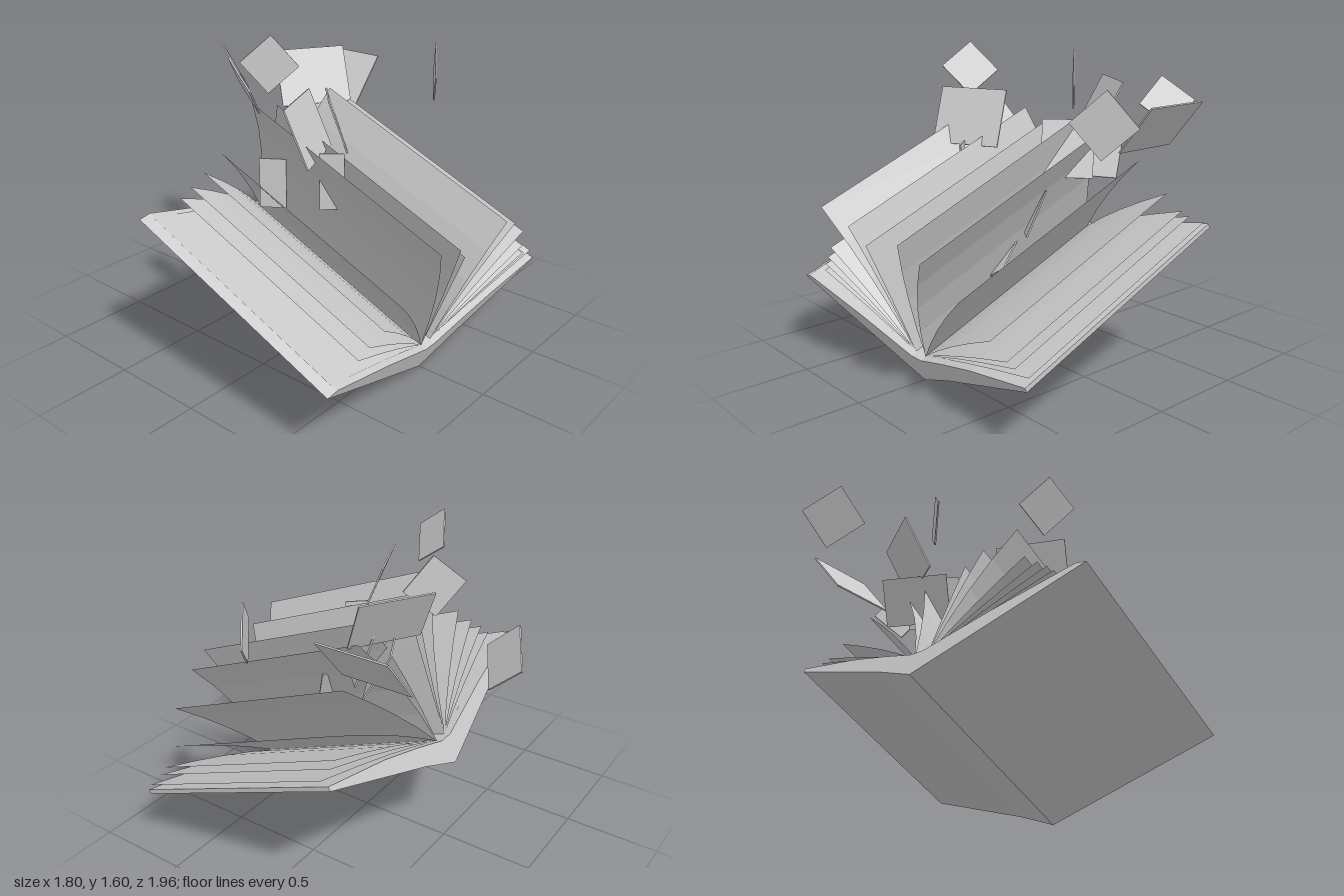
import * as THREE from 'three';

const paper = new THREE.MeshStandardMaterial({ color: 0xcccccc, side: THREE.DoubleSide, flatShading: true });
paper.name = 'paper grey';

const TILT = THREE.MathUtils.degToRad(22.4);
const DEPTH = 1.265;
const up = y => y / Math.cos(TILT); // front height to height along the tilted book

// Curved page leaf swept along the spine
function makeLeaf(root, tip, bend, inset) {
  const a = new THREE.Vector2(root[0], up(root[1]));
  const c = new THREE.Vector2(tip[0], up(tip[1]));
  const b = new THREE.Vector2(a.x + (c.x - a.x) * bend[0], a.y + (c.y - a.y) * bend[1]);
  const pts = new THREE.QuadraticBezierCurve(a, b, c).getPoints(4);
  const pos = [], index = [];
  pts.forEach((p, i) => {
    pos.push(p.x, p.y, -inset, p.x, p.y, inset - DEPTH);
    if (i) index.push(2 * i - 2, 2 * i, 2 * i - 1, 2 * i - 1, 2 * i, 2 * i + 1);
  });
  const g = new THREE.BufferGeometry();
  g.setAttribute('position', new THREE.Float32BufferAttribute(pos, 3));
  g.setIndex(index);
  g.computeVertexNormals();
  return new THREE.Mesh(g, paper);
}

// Thin loose sheet through three neighbouring corners
function makeSheet(p, q, r) {
  const [a, b, c] = [p, q, r].map(v => new THREE.Vector3(...v));
  const u = b.clone().sub(a), v = c.clone().sub(b);
  const w = u.length(), h = v.length();
  u.normalize();
  const n = u.clone().cross(v).normalize();
  const m = new THREE.Matrix4().makeBasis(u, n.clone().cross(u), n);
  const mesh = new THREE.Mesh(new THREE.BoxGeometry(w, h, 0.008), paper);
  mesh.quaternion.setFromRotationMatrix(m);
  mesh.position.copy(a).add(c).multiplyScalar(0.5);
  return mesh;
}

export function createModel() {
  const model = new THREE.Group();
  model.name = 'openBook';

  // Tilted book
  const book = new THREE.Group();
  book.name = 'book';
  book.rotation.x = TILT;
  book.position.set(0, 0.003, 0.62);
  model.add(book);

  // Cover: shallow V, thick at the spine and thin at the edges
  const profile = [
    [0, 0], [0.24, 0.09], [0.9, 0.298], [0.9, 0.32], [0.5, 0.25], [0.25, 0.19],
    [0.05, 0.135], [-0.03, 0.135], [-0.4, 0.25], [-0.84, 0.365], [-0.9, 0.35],
  ].map(([x, y]) => new THREE.Vector2(x, up(y)));
  const coverGeo = new THREE.ExtrudeGeometry(new THREE.Shape(profile), { depth: DEPTH, bevelEnabled: false });
  coverGeo.translate(0, 0, -DEPTH);
  const cover = new THREE.Mesh(coverGeo, paper);
  cover.name = 'cover';
  book.add(cover);

  // Fanned pages, listed by the tip of each
  const leaves = {
    rightPage: {
      root: [0.05, 0.137],
      tips: [[0.9, 0.345], [0.82, 0.36], [0.78, 0.38], [0.71, 0.46], [0.58, 0.61], [0.38, 0.74], [0.25, 0.8]],
    },
    leftPage: {
      root: [-0.03, 0.137],
      tips: [[-0.85, 0.368], [-0.69, 0.42], [-0.64, 0.47], [-0.57, 0.53], [-0.475, 0.61],
        [-0.36, 0.86], [-0.16, 0.8], [-0.065, 0.72]],
    },
  };
  for (const [name, { root, tips }] of Object.entries(leaves)) {
    tips.forEach((tip, i) => {
      const leaf = makeLeaf(root, tip, tip[1] > 0.7 ? [0.3, 0.55] : [0.4, 0.5], 0.033);
      leaf.name = name + (i + 1);
      book.add(leaf);
    });
  }

  // Loose sheets flying out
  const sheets = [
    [[-0.55, 1.605, -0.12], [-0.41, 1.455, -0.2], [-0.435, 1.32, -0.04]],
    [[0, 1.58, -0.39], [0.105, 1.41, -0.29], [0, 1.25, -0.39]],
    [[-0.46, 1.38, 0.13], [-0.115, 1.38, -0.02], [-0.07, 1.1, 0.085]],
    [[0.135, 1.45, -0.475], [0.46, 1.45, -0.275], [0.385, 1.18, -0.155]],
    [[0.74, 1.485, 0.15], [0.86, 1.32, 0.065], [0.74, 1.15, 0.15]],
    [[0.5, 1.115, -0.21], [0.5, 1.115, -0.587], [0.7, 1.355, -0.587]],
    [[0.32, 1.275, -0.997], [0.3, 1.13, -0.84], [0.145, 1.28, -0.77]],
    [[0.1, 1.25, -0.07], [0.29, 1.25, -0.25], [0.36, 0.97, -0.18]],
    [[0.05, 1.19, -0.22], [0.36, 1.19, -0.38], [0.44, 0.97, -0.28]],
    [[-0.245, 1.12, 0.16], [-0.165, 1.12, 0.25], [-0.165, 0.83, 0.25]],
    [[-0.43, 1.1, -0.05], [-0.36, 1.1, 0.06], [-0.37, 0.85, 0.05]],
    [[0.07, 0.93, -0.08], [0.3, 0.93, 0.08], [0.22, 0.7, 0.14]],
    [[-0.03, 0.73, -0.02], [0.145, 0.83, -0.02], [0.145, 0.53, 0.275]],
  ];
  sheets.forEach((s, i) => {
    const sheet = makeSheet(...s);
    sheet.name = 'looseSheet' + (i + 1);
    model.add(sheet);
  });

  return model;
}
